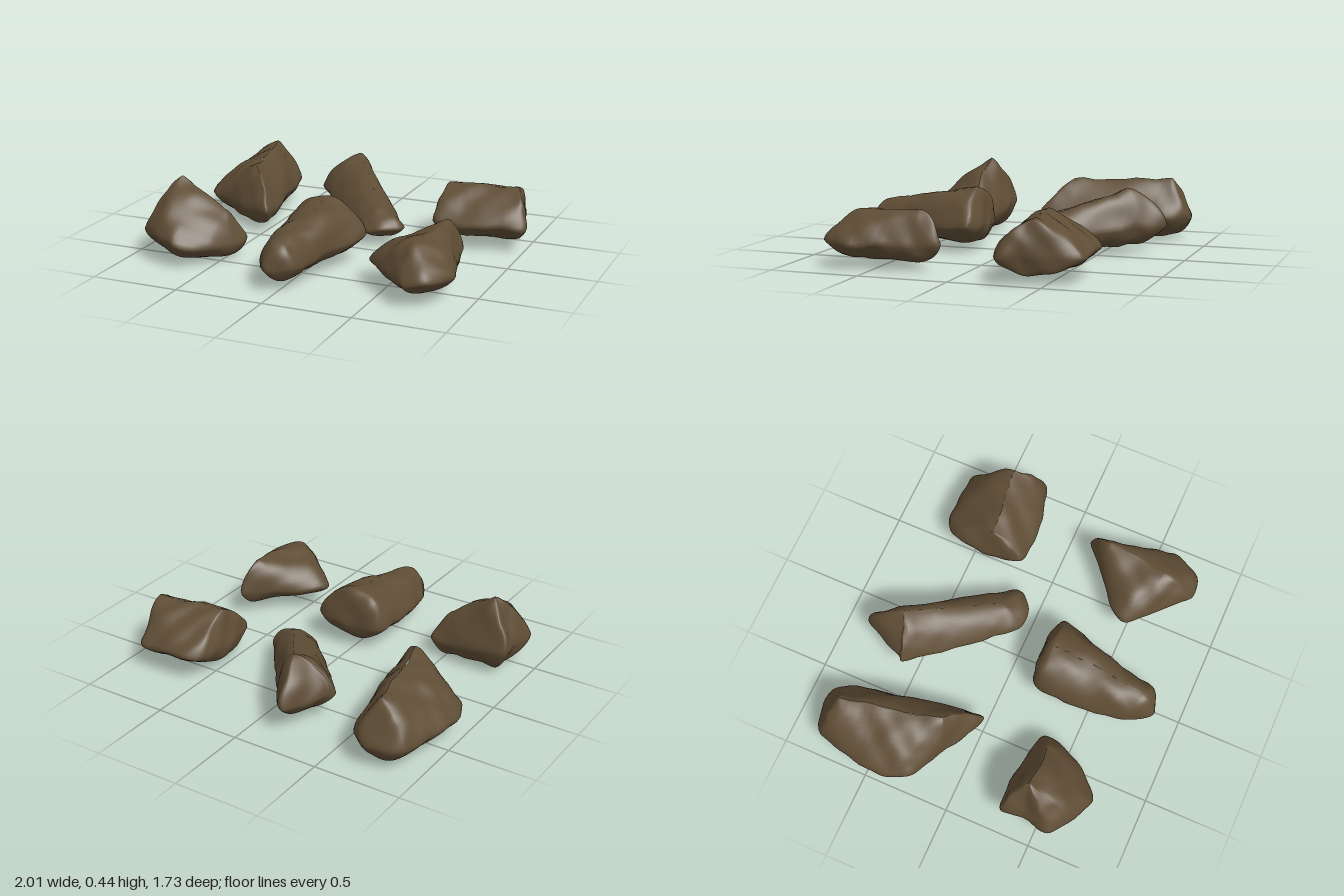
import * as THREE from 'three';

const SIDES = 72, STEPS = 14;

// Gentle lumps and hollows, a function of position so that seams stay shut
function weather(v) {
  const { x, y, z } = v;
  v.x += 0.006 * Math.sin(21 * y + 13 * z + 2) + 0.003 * Math.sin(41 * z - 33 * y);
  v.y += 0.007 * Math.sin(17 * x + 3) * Math.cos(19 * z + 1) + 0.004 * Math.sin(37 * x + 29 * z);
  v.z += 0.006 * Math.sin(15 * x - 23 * y) + 0.003 * Math.sin(43 * x + 31 * y);
  return v;
}

// Nearest point, in plan, on the crest line from a to b
function nearest(a, b, p) {
  const dx = b.x - a.x, dz = b.z - a.z;
  const t = ((p.x - a.x) * dx + (p.z - a.z) * dz) / (dx * dx + dz * dz);
  return a.clone().lerp(b, THREE.MathUtils.clamp(t, 0, 1));
}

// Outline is the widest edge [x, z], clockwise from above; the crest runs between two points.
// A larger bulge makes fuller, boxier flanks.
function rockGeometry(outline, start, end, floor, bulge) {
  const corners = outline.map(([x, z]) => new THREE.Vector3(x, 0, z));
  const curve = new THREE.CatmullRomCurve3(corners, true, 'catmullrom', 0.35);
  const a = new THREE.Vector3(...start), b = new THREE.Vector3(...end);
  const positions = [], index = [];
  // Rings run from the underside (r < 0) through the outline (r = 0) to the crest
  for (let r = -STEPS; r <= STEPS; r++) {
    const t = Math.abs(r) / STEPS;
    const rise = 1 - Math.pow(1 - t, r < 0 ? 2 : bulge);
    for (let i = 0; i < SIDES; i++) {
      const p = curve.getPoint(i / SIDES);
      const goal = nearest(a, b, p);
      const edgeY = THREE.MathUtils.lerp(floor, goal.y, 0.35);
      const v = p.lerp(goal, Math.pow(t, 1.25));
      v.y = THREE.MathUtils.lerp(edgeY, r < 0 ? floor : goal.y, rise);
      positions.push(...weather(v).toArray());
    }
  }
  for (let r = 0; r < 2 * STEPS; r++) {
    for (let i = 0; i < SIDES; i++) {
      const j = (i + 1) % SIDES, low = r * SIDES, high = low + SIDES;
      index.push(low + j, low + i, high + i, low + j, high + i, high + j);
    }
  }
  const geometry = new THREE.BufferGeometry();
  geometry.setAttribute('position', new THREE.Float32BufferAttribute(positions, 3));
  geometry.setIndex(index);
  geometry.computeVertexNormals();
  return geometry;
}

export function createModel() {
  const stone = new THREE.MeshStandardMaterial({ color: 0x5f4d35 });
  stone.name = 'brown stone';
  const group = new THREE.Group();
  group.name = 'rocks';
  const addRock = (name, ...shape) => {
    const mesh = new THREE.Mesh(rockGeometry(...shape), stone);
    mesh.name = name;
    group.add(mesh);
  };

  // Long wedge
  addRock('backLeftRock',
    [[-0.92, -0.81], [-0.68, -0.86], [-0.57, -0.7], [-0.45, -0.06], [-0.52, -0.03], [-0.92, -0.24], [-0.99, -0.42]],
    [-0.74, 0.36, -0.74], [-0.61, 0.35, -0.19], 0.02, 1.35);
  // Diagonal slab
  addRock('backMiddleRock',
    [[-0.2, -0.85], [-0.06, -0.7], [0.31, -0.2], [0.31, -0.09], [0.12, -0.05], [-0.32, -0.53], [-0.32, -0.6]],
    [-0.14, 0.37, -0.64], [0.19, 0.21, -0.18], 0.05, 1.7);
  // Block with a crest from side to side
  addRock('backRightRock',
    [[0.48, -0.6], [0.58, -0.69], [0.88, -0.68], [0.98, -0.38], [0.98, -0.24], [0.5, -0.19]],
    [0.53, 0.34, -0.39], [0.93, 0.34, -0.43], 0.05, 1.3);
  // Peaked lump
  addRock('frontLeftRock',
    [[-0.9, 0.28], [-0.52, 0.3], [-0.41, 0.35], [-0.42, 0.48], [-0.52, 0.63], [-0.68, 0.74], [-0.92, 0.59], [-0.89, 0.42]],
    [-0.77, 0.44, 0.41], [-0.52, 0.28, 0.41], 0.01, 1.3);
  // Long tapered block
  addRock('frontMiddleRock',
    [[-0.19, 0.2], [-0.01, 0.13], [0.24, 0.19], [0.12, 0.62], [0.08, 0.81], [-0.05, 0.85], [-0.16, 0.69]],
    [0.02, 0.36, 0.22], [0, 0.27, 0.75], 0.05, 2.3);
  // Three-cornered rock
  addRock('frontRightRock',
    [[0.77, 0.12], [0.82, 0.28], [0.9, 0.6], [0.81, 0.77], [0.67, 0.78], [0.39, 0.48], [0.6, 0.27]],
    [0.74, 0.33, 0.26], [0.69, 0.31, 0.6], 0.05, 1.6);
  return group;
}
